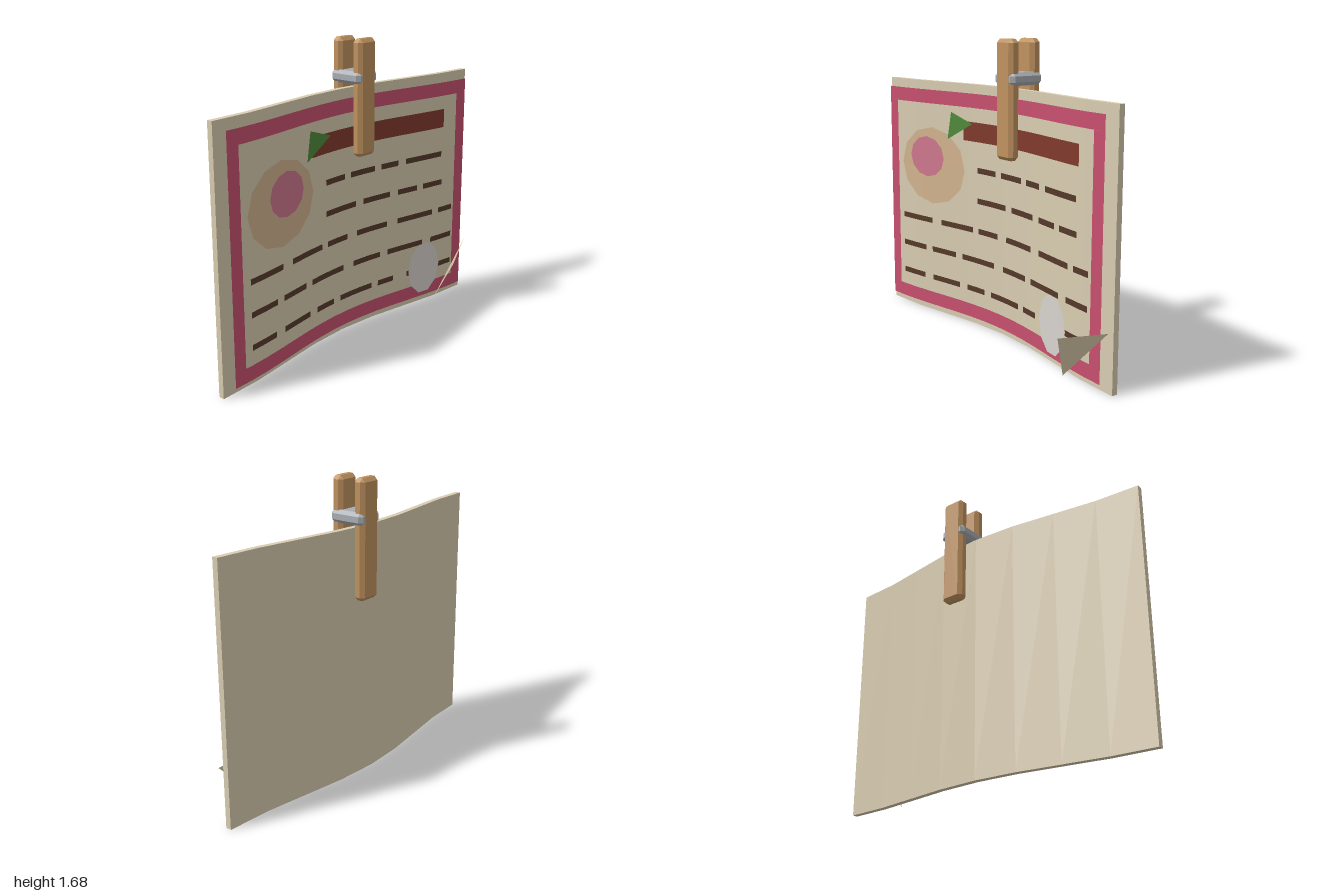
import * as THREE from 'three';
import { ConvexGeometry } from 'three/addons/geometries/ConvexGeometry.js';

const THICK = 0.033;
const HEIGHT = 1.413;

// Depth of the card's middle surface: a gentle wave across the width
const bend = (x) => -0.027 - 0.054 * Math.cos(Math.PI * x);

function drape(geometry, offset) {
  const p = geometry.attributes.position;
  for (let i = 0; i < p.count; i++) p.setZ(i, p.getZ(i) + bend(p.getX(i)) + offset);
  geometry.computeVertexNormals();
  return geometry;
}

function chamferedBox(w, h, d, b) {
  const half = [w / 2, h / 2, d / 2];
  const points = [];
  for (const sx of [-1, 1]) for (const sy of [-1, 1]) for (const sz of [-1, 1]) {
    for (let full = 0; full < 3; full++) {
      const c = half.map((v, i) => (i === full ? v : v - b));
      points.push(new THREE.Vector3(sx * c[0], sy * c[1], sz * c[2]));
    }
  }
  return new ConvexGeometry(points);
}

export function createModel() {
  const model = new THREE.Group();
  const paint = (color, options = {}) => new THREE.MeshStandardMaterial({ color, ...options });
  const thin = { side: THREE.DoubleSide };

  const add = (name, geometry, material, parent = model) => {
    const mesh = new THREE.Mesh(geometry, material);
    mesh.name = name;
    parent.add(mesh);
    return mesh;
  };
  const group = (name) => {
    const g = new THREE.Group();
    g.name = name;
    model.add(g);
    return g;
  };

  // Printed rectangle that follows the card's wave
  const strip = (name, x0, x1, y0, y1, offset, material, parent) => {
    const segments = Math.max(1, Math.ceil((x1 - x0) / 0.125));
    const geometry = new THREE.PlaneGeometry(x1 - x0, y1 - y0, segments, 1);
    geometry.translate((x0 + x1) / 2, (y0 + y1) / 2, 0);
    add(name, drape(geometry, offset), material, parent);
  };

  // Printed oval that follows the card's wave
  const oval = (name, x, y, rx, ry, sides, offset, color) => {
    const geometry = new THREE.CircleGeometry(1, sides);
    geometry.scale(rx, ry, 1).translate(x, y, 0);
    add(name, drape(geometry, offset), paint(color, thin));
  };

  // Single triangle
  const triangle = (name, corners, color) => {
    const geometry = new THREE.BufferGeometry();
    geometry.setAttribute('position', new THREE.Float32BufferAttribute(corners.flat(), 3));
    geometry.computeVertexNormals();
    add(name, geometry, paint(color, thin));
  };

  // Card
  const card = new THREE.BoxGeometry(2, HEIGHT, THICK, 8, 1, 1).translate(0, HEIGHT / 2, 0);
  add('card', drape(card, 0), paint(0xd9ccb0, { flatShading: true }));

  // Border
  const pink = paint(0xc8506f, thin);
  const border = group('border');
  strip('borderTop', -0.95, 0.95, 1.285, 1.365, 0.055, pink, border);
  strip('borderBottom', -0.95, 0.95, 0.05, 0.13, 0.055, pink, border);
  strip('borderRight', -0.95, -0.875, 0.13, 1.285, 0.055, pink, border);
  strip('borderLeft', 0.87, 0.95, 0.13, 1.285, 0.055, pink, border);

  // Title bar and dashed lines of writing
  strip('titleBar', -0.295, 0.76, 1.095, 1.205, 0.057, paint(0x803a2c, thin));
  const ink = paint(0x553a2a, thin);
  const writing = group('writing');
  const rows = [
    [[-0.18, -0.02], [0.03, 0.22], [0.27, 0.4], [0.46, 0.745]],
    [[-0.18, 0.07], [0.13, 0.34], [0.4, 0.55], [0.6, 0.755]],
    [[-0.825, -0.565], [-0.485, -0.22], [-0.17, 0], [0.08, 0.32], [0.4, 0.68], [0.73, 0.85]],
    [[-0.825, -0.62], [-0.565, -0.365], [-0.31, -0.035], [0.05, 0.265], [0.325, 0.6], [0.67, 0.85]],
    [[-0.825, -0.635], [-0.56, -0.335], [-0.27, -0.12], [-0.06, 0.2], [0.25, 0.37], [0.48, 0.85]],
  ];
  rows.forEach((dashes, row) => {
    const y = 0.933 - row * 0.1765;
    for (const [x0, x1] of dashes) strip('dash', x0, x1, y - 0.016, y + 0.016, 0.058, ink, writing);
  });

  // Fruit picture with leaf, and a pale stain
  oval('fruit', -0.56, 0.915, 0.27, 0.23, 12, 0.055, 0xd2b48f);
  oval('fruitCentre', -0.56, 0.975, 0.14, 0.12, 12, 0.093, 0xd0788f);
  oval('paleSpot', 0.585, 0.25, 0.125, 0.163, 10, 0.09, 0xd8d3ce);
  const leaf = [[-0.385, 1.095], [-0.18, 1.2], [-0.355, 1.255]];
  triangle('leaf', leaf.map(([x, y]) => [x, y, bend(x) + 0.093]), 0x4f8a3a);

  // Turned-up corner
  triangle('foldedCorner', [[0.68, 0.01, 0.08], [1, 0.325, 0.08], [0.75, 0.25, 0.18]], 0xcdbf9f);

  // Wooden clip gripping the top edge
  const clip = group('clip');
  const wood = paint(0xc0925f, { flatShading: true });
  const prong = chamferedBox(0.137, 0.645, 0.068, 0.02);
  add('frontProng', prong, wood, clip).position.set(0.113, 1.357, -0.002);
  add('backProng', prong, wood, clip).position.set(0.113, 1.357, -0.145);
  const spring = chamferedBox(0.164, 0.07, 0.208, 0.019);
  add('spring', spring, paint(0xa9adb2, { flatShading: true }), clip).position.set(0.113, 1.47, -0.074);

  return model;
}
